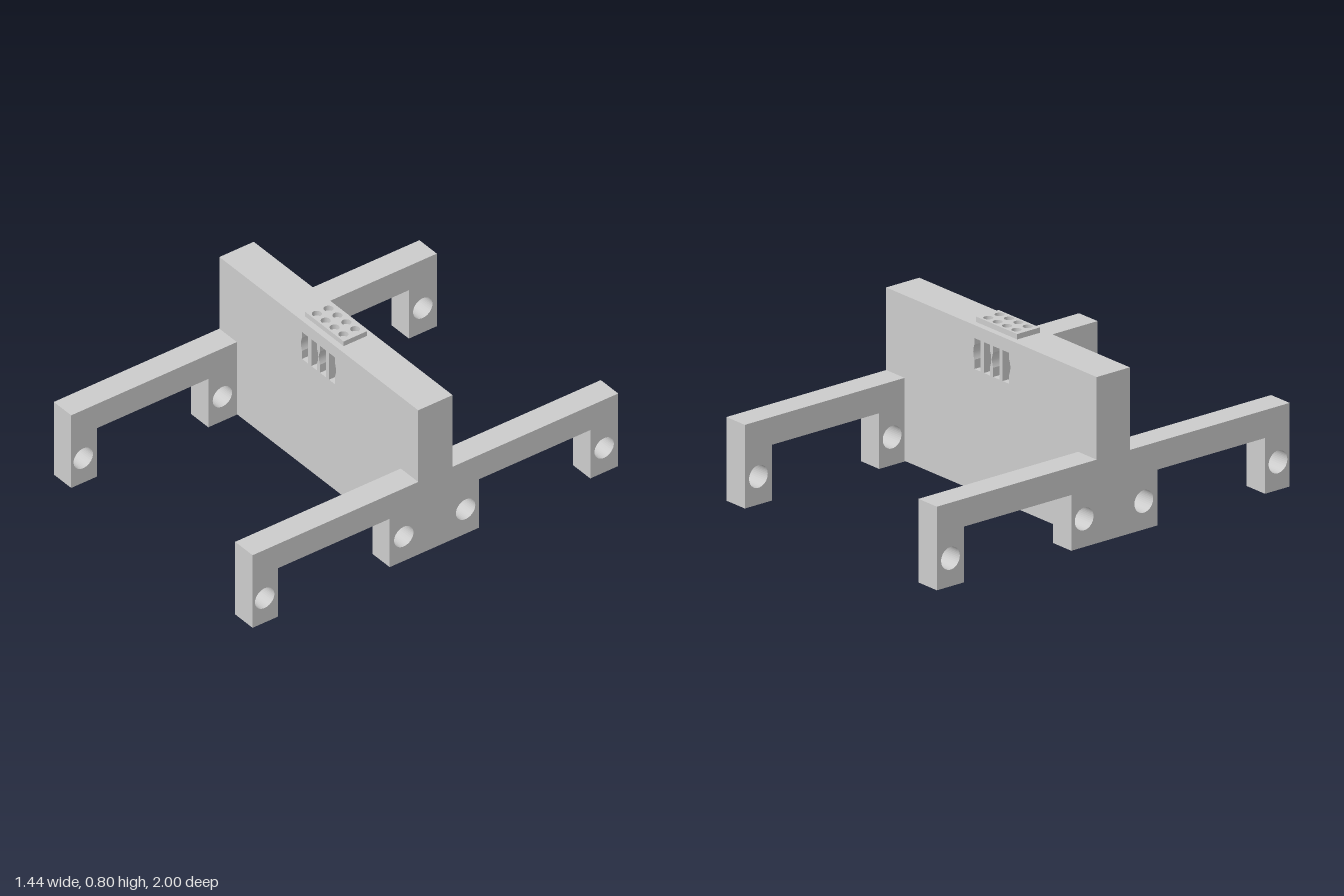
import * as THREE from 'three';

const grey = new THREE.MeshStandardMaterial({ color: 0xcccccc });
const HALF_W = 0.718, ARM_W = 0.126, HALF_T = 0.094, TOP = 0.775;

const polygon = (points) => new THREE.Shape(points.map(([x, y]) => new THREE.Vector2(x, y)));

function addRoundHole(shape, x, y, r) {
  const hole = new THREE.Path();
  hole.absarc(x, y, r, 0, Math.PI * 2, true);
  shape.holes.push(hole);
}

function extrude(shape, depth) {
  return new THREE.ExtrudeGeometry(shape, { depth, bevelEnabled: false, curveSegments: 20 });
}

function addMesh(parent, name, geometry) {
  const mesh = new THREE.Mesh(geometry, grey);
  mesh.name = name;
  parent.add(mesh);
  return mesh;
}

// Side profile drawn in (z, y): two arms with end feet, a central foot and a post
function sideFrameGeometry() {
  const armY = 0.26, armTop = 0.39;
  const shape = polygon([
    [-1, 0], [-0.847, 0], [-0.847, armY], [-0.238, armY], [-0.238, 0],
    [0.25, 0], [0.25, armY], [0.86, armY], [0.86, 0], [1, 0],
    [1, armTop], [HALF_T, armTop], [HALF_T, TOP], [-HALF_T, TOP], [-HALF_T, armTop], [-1, armTop],
  ]);
  for (const z of [-0.923, -0.165, 0.173, 0.934]) addRoundHole(shape, z, 0.131, 0.053);
  return extrude(shape, ARM_W).translate(0, 0, -ARM_W / 2).rotateY(-Math.PI / 2);
}

// Central wall with four slots, each bulging on one side
function wallGeometry() {
  const w = HALF_W - ARM_W, y0 = 0.57, y1 = 0.714, mid = 0.648;
  const shape = polygon([[-w, 0.003], [w, 0.003], [w, TOP], [-w, TOP]]);
  // straight edge x, bulging edge x
  for (const [flat, curved] of [[-0.077, -0.121], [-0.054, -0.012], [0.052, 0.009], [0.074, 0.116]]) {
    const bulge = curved + Math.sign(curved - flat) * 0.016;
    const slot = new THREE.Path();
    slot.moveTo(flat, y0);
    slot.lineTo(curved, y0);
    slot.lineTo(curved, mid - 0.035);
    slot.quadraticCurveTo(bulge, mid, curved, mid + 0.035);
    slot.lineTo(curved, y1);
    slot.lineTo(flat, y1);
    slot.closePath();
    shape.holes.push(slot);
  }
  return extrude(shape, HALF_T * 2).translate(0, 0, -HALF_T);
}

// Top plate with two rows of four round sockets
function socketPlateGeometry() {
  const shape = polygon([[-0.14, -0.064], [0.14, -0.064], [0.14, 0.064], [-0.14, 0.064]]);
  for (let i = 0; i < 4; i++) {
    for (const z of [-0.032, 0.032]) addRoundHole(shape, -0.096 + i * 0.064, z, 0.022);
  }
  return extrude(shape, 0.025).rotateX(-Math.PI / 2);
}

export function createModel() {
  const model = new THREE.Group();
  model.name = 'slottedWallStand';

  addMesh(model, 'wall', wallGeometry());
  for (const [name, side] of [['leftFrame', 1], ['rightFrame', -1]]) {
    addMesh(model, name, sideFrameGeometry()).position.x = side * (HALF_W - ARM_W / 2);
  }
  addMesh(model, 'socketPlate', socketPlateGeometry()).position.y = TOP;

  return model;
}
